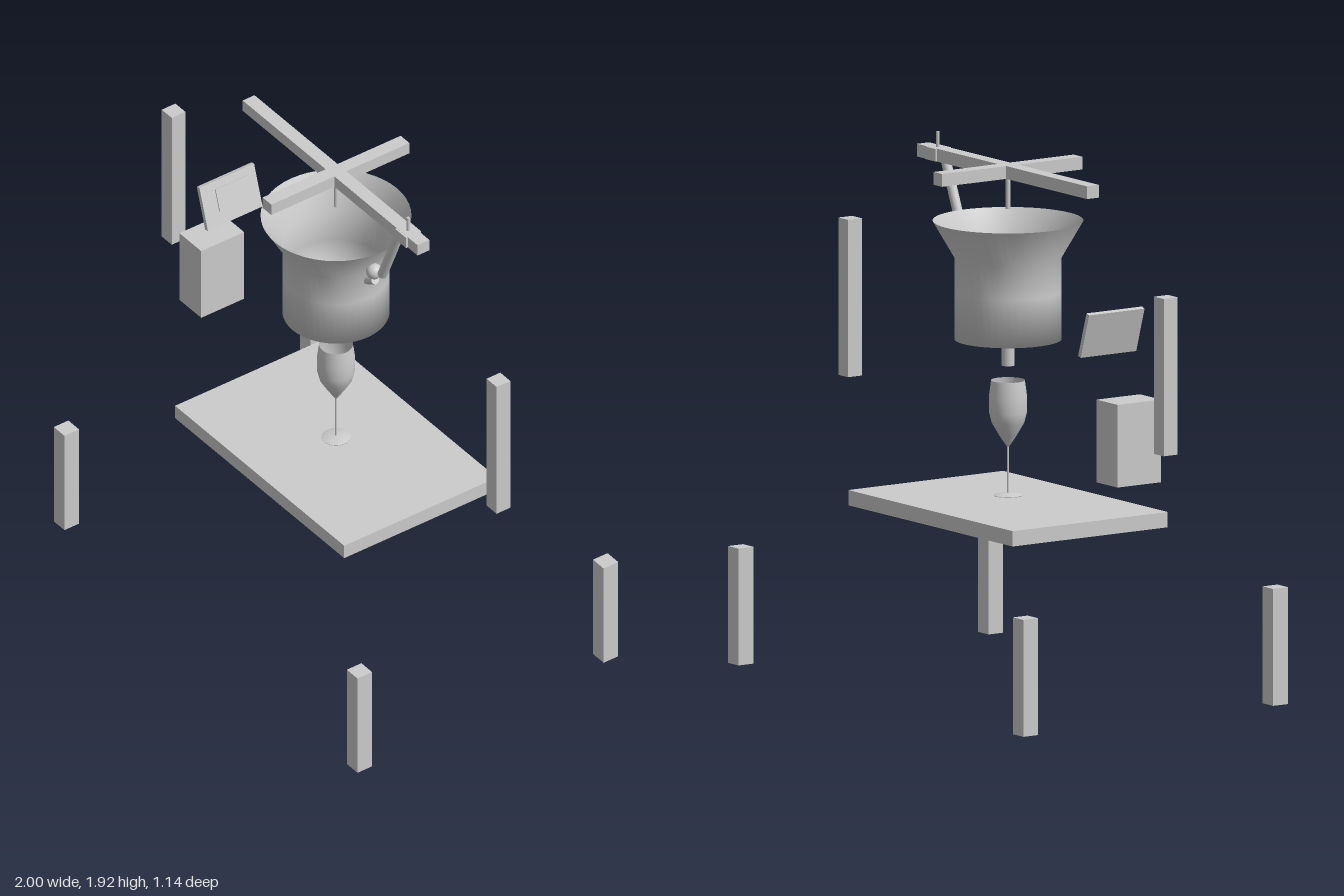
import * as THREE from 'three';

const material = new THREE.MeshStandardMaterial({ color: 0xcccccc });
const thin = new THREE.MeshStandardMaterial({ color: 0xcccccc, side: THREE.DoubleSide });

export function createModel() {
  const model = new THREE.Group();

  function add(name, geometry, x = 0, y = 0, z = 0, mat = material) {
    const mesh = new THREE.Mesh(geometry, mat);
    mesh.name = name;
    mesh.position.set(x, y, z);
    model.add(mesh);
    return mesh;
  }
  const box = (name, w, h, d, x, y, z) => add(name, new THREE.BoxGeometry(w, h, d), x, y, z);
  const lathe = (name, points, mat = thin) =>
    add(name, new THREE.LatheGeometry(points.map(p => new THREE.Vector2(...p)), 48), 0, 0, 0, mat);

  // Round rod between two points in the x-y plane
  function rod(name, r, x1, y1, x2, y2) {
    const length = Math.hypot(x2 - x1, y2 - y1);
    const mesh = add(name, new THREE.CylinderGeometry(r, r, length, 24), (x1 + x2) / 2, (y1 + y2) / 2);
    mesh.rotation.z = Math.atan2(x1 - x2, y2 - y1);
    return mesh;
  }

  // Lower legs and upper side posts
  for (const sx of [-1, 1]) {
    for (const sz of [-1, 1]) box('leg', 0.064, 0.42, 0.064, sx * 0.875, 0.21, sz * 0.54);
    box('sidePost', 0.06, 0.565, 0.06, sx * 0.97, 1.248, 0);
  }

  // Table top
  box('tableTop', 1.01, 0.055, 0.67, 0, 0.628, 0);

  // Overhead cross, one plus-shaped outline with a socket for the arm
  const L = 0.522, D = 0.303, w = 0.026;
  const plus = new THREE.Shape([
    [L, -w], [L, w], [w, w], [w, D], [-w, D], [-w, w],
    [-L, w], [-L, -w], [-w, -w], [-w, -D], [w, -D], [w, -w],
  ].map(p => new THREE.Vector2(...p)));
  const cross = new THREE.ExtrudeGeometry(plus, { depth: 0.046, bevelEnabled: false });
  cross.rotateX(-Math.PI / 2);
  add('overheadCross', cross, 0, 1.819, 0);
  box('armSocket', 0.066, 0.045, 0.066, 0.431, 1.842, 0);
  rod('socketPin', 0.006, 0.431, 1.86, 0.431, 1.92);
  rod('centrePin', 0.008, 0, 1.705, 0, 1.825);

  // Open hopper with its outlet
  lathe('hopper', [[0, 1.238], [0.19, 1.238], [0.19, 1.41], [0.19, 1.532], [0.267, 1.664]]);
  rod('outletFlange', 0.052, 0, 1.226, 0, 1.238);
  rod('outletSpout', 0.023, 0, 1.143, 0, 1.23);

  // Jointed arm from the cross to the hopper
  rod('upperArm', 0.018, 0.277, 1.572, 0.388, 1.838);
  rod('lowerArm', 0.016, 0.183, 1.49, 0.234, 1.521);
  add('armJoint', new THREE.SphereGeometry(0.029, 24, 16), 0.228, 1.556, 0);

  // Pointed cup on a thin stem and a shallow foot
  lathe('cup', [[0, 0.845], [0.03, 0.89], [0.058, 0.938], [0.067, 0.975], [0.068, 1.03], [0.06, 1.09]]);
  rod('stem', 0.004, 0, 0.68, 0, 0.86);
  lathe('foot', [[0, 0.676], [0.051, 0.676], [0.051, 0.678], [0.025, 0.684], [0, 0.686]], material);

  // Control box with a tilted panel and its floating screen
  box('controlBox', 0.13, 0.297, 0.188, -0.742, 0.98, 0);
  const tilt = 0.31;
  box('panel', 0.017, 0.168, 0.24, -0.635, 1.355, 0).rotation.z = tilt;
  box('screen', 0.004, 0.085, 0.138, -0.614, 1.382, 0).rotation.z = tilt;

  return model;
}
